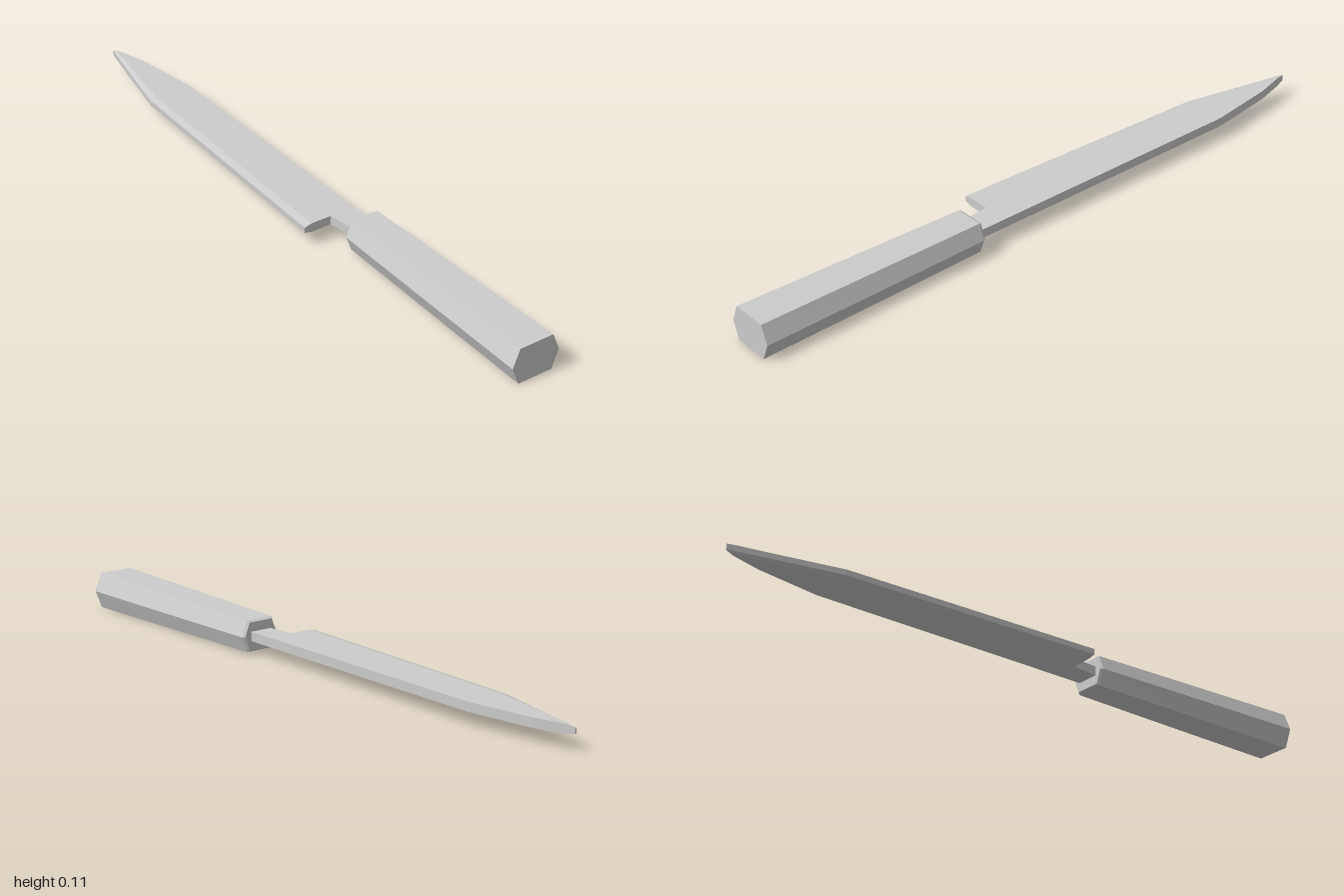
import * as THREE from 'three';

const MID_Y = 0.055;

// Skin a run of sections along x; each section is { x, ring: [[z, y], ...] }
function loft(name, sections, material) {
  const pos = [];
  const put = (s, j) => {
    const [z, y] = s.ring[j % s.ring.length];
    pos.push(s.x, y, z);
  };
  const n = sections[0].ring.length;
  for (let i = 0; i < sections.length - 1; i++) {
    const a = sections[i], b = sections[i + 1];
    for (let j = 0; j < n; j++) {
      put(a, j); put(a, j + 1); put(b, j + 1);
      put(a, j); put(b, j + 1); put(b, j);
    }
  }
  // End caps
  const first = sections[0], last = sections[sections.length - 1];
  for (let j = 1; j < n - 1; j++) {
    put(last, 0); put(last, j); put(last, j + 1);
    put(first, 0); put(first, j + 1); put(first, j);
  }
  const geo = new THREE.BufferGeometry();
  geo.setAttribute('position', new THREE.Float32BufferAttribute(pos, 3));
  geo.computeVertexNormals();
  const mesh = new THREE.Mesh(geo, material);
  mesh.name = name;
  return mesh;
}

// Blade section: flat spine, parallel cheeks, bevel down to a blunt edge
function bladeSection([x, spine, bevel, edge, half = 0.014]) {
  const e = 0.0085;
  return {
    x,
    ring: [
      [spine, MID_Y + half], [bevel, MID_Y + half], [edge, MID_Y + e],
      [edge, MID_Y - e], [bevel, MID_Y - half], [spine, MID_Y - half],
    ],
  };
}

// Six-sided grip section with flat top and bottom
function gripSection([x, back, front, halfHeight]) {
  const inset = (front - back) * 0.145;
  const t = MID_Y + halfHeight, b = MID_Y - halfHeight;
  return {
    x,
    ring: [
      [back, MID_Y], [back + inset, t], [front - inset, t],
      [front, MID_Y], [front - inset, b], [back + inset, b],
    ],
  };
}

// Tang section: plain rectangle
function tangSection([x, back, front]) {
  const t = MID_Y + 0.014, b = MID_Y - 0.014;
  return { x, ring: [[back, t], [front, t], [front, b], [back, b]] };
}

export function createModel() {
  const group = new THREE.Group();
  group.name = 'knife';
  const grey = new THREE.MeshStandardMaterial({ color: 0xcccccc, flatShading: true });
  grey.name = 'light grey';

  // x, spine z, bevel z, edge z, half thickness
  const blade = [
    [-1, -0.002, 0, 0.002, 0.0085],
    [-0.97, -0.01, 0.002, 0.008],
    [-0.88, -0.035, 0.017, 0.028],
    [-0.67, -0.066, 0.054, 0.074],
    [0.168, -0.066, 0.08, 0.104],
  ];
  group.add(loft('blade', blade.map(bladeSection), grey));

  // x, back z, front z
  const tang = [[0.168, -0.066, 0.015], [0.2, -0.066, 0.01], [0.27, -0.066, 0.004]];
  group.add(loft('tang', tang.map(tangSection), grey));

  // x, back z, front z, half height; a small chamfer leads into the taper
  const handle = [
    [0.256, -0.088, 0.026, 0.042],
    [0.264, -0.094, 0.032, 0.047],
    [0.62, -0.1, 0.041, 0.051],
    [1, -0.105, 0.05, 0.055],
  ];
  group.add(loft('handle', handle.map(gripSection), grey));

  return group;
}
